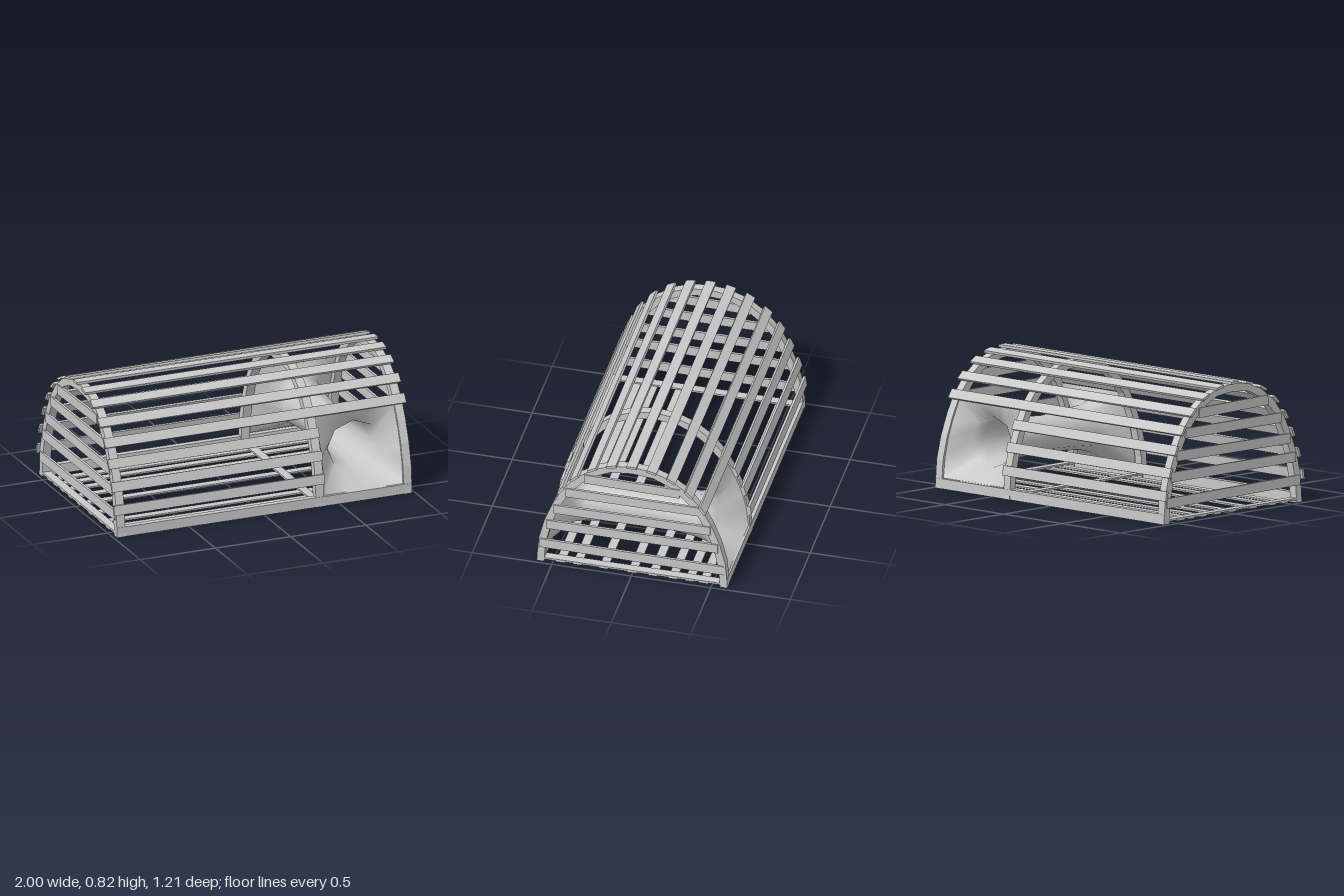
import * as THREE from 'three';

// Half of the arch outline, as [z, y] from foot to crown
const OUTER = [[0.6, 0], [0.587, 0.175], [0.552, 0.313], [0.5, 0.445], [0.44, 0.56], [0.355, 0.662], [0.245, 0.745], [0.125, 0.79], [0, 0.805]];
const INNER = [[0.553, 0], [0.545, 0.13], [0.51, 0.29], [0.455, 0.43], [0.395, 0.54], [0.32, 0.625], [0.235, 0.695], [0.135, 0.742], [0, 0.755]];

// Depth of an outline at height y
function depthAt(line, y) {
  for (let i = 1; i < line.length; i++) {
    const [z0, y0] = line[i - 1], [z1, y1] = line[i];
    if (y <= y1) return z0 + (z1 - z0) * (y - y0) / (y1 - y0);
  }
  return 0;
}

export function createModel() {
  const model = new THREE.Group();
  model.name = 'slattedTrap';
  const wood = new THREE.MeshStandardMaterial({ color: 0xc8c8c8 });
  wood.name = 'greyWood';
  wood.side = THREE.DoubleSide;

  function add(name, geometry, x = 0, y = 0, z = 0, rx = 0) {
    const mesh = new THREE.Mesh(geometry, wood);
    mesh.name = name;
    mesh.position.set(x, y, z);
    mesh.rotation.x = rx;
    model.add(mesh);
    return mesh;
  }
  const box = (name, w, h, d, x, y, z, rx) => add(name, new THREE.BoxGeometry(w, h, d), x, y, z, rx);

  // Three bent ribs
  const mirror = (line) => line.slice(0, -1).reverse().map(([z, y]) => [-z, y]);
  const outline = [...OUTER, ...mirror(OUTER), ...[...INNER, ...mirror(INNER)].reverse()];
  const ribShape = new THREE.Shape(outline.map(([z, y]) => new THREE.Vector2(z, y)));
  const ribGeometry = new THREE.ExtrudeGeometry(ribShape, { depth: 0.055, bevelEnabled: false });
  ribGeometry.translate(0, 0, -0.0275).rotateY(-Math.PI / 2);
  for (const x of [-0.953, 0.37, 0.953]) {
    add('archRib', ribGeometry, x);
    box('floorCrossBeam', 0.055, 0.012, 1.12, x, 0.023, 0);
  }

  // Long slats over the arch; the low ones stop at the entrances
  for (let i = 1; i < OUTER.length; i++) {
    const [z, y] = OUTER[i];
    const prev = OUTER[i - 1];
    const next = OUTER[i + 1] || [-OUTER[i - 1][0], OUTER[i - 1][1]];
    const ny = prev[0] - next[0], nz = next[1] - prev[1], n = Math.hypot(ny, nz);
    const x0 = -1, x1 = i < 4 ? 0.4 : 1;
    for (const side of z > 0 ? [1, -1] : [1]) {
      box('archSlat', x1 - x0, 0.062, 0.016, (x0 + x1) / 2, y + 0.006 * ny / n,
        side * (z + 0.006 * nz / n), -Math.atan2(ny, side * nz));
    }
  }

  // Bottom side rails
  for (const side of [1, -1]) box('sideRail', 1.96, 0.063, 0.04, 0, 0.0315, side * 0.578);

  // Floor slats
  for (const z of [-0.45, -0.36, -0.255, -0.13, 0, 0.18, 0.345, 0.45])
    box('floorSlat', 1.96, 0.01, 0.055, 0, 0.015, z);

  // Slightly uneven slats closing both ends
  const endSlats = [[0.135, 0.01], [0.287, 0], [0.41, -0.005], [0.545, 0], [0.663, 0.018]];
  for (const side of [1, -1]) {
    for (const [y, tilt] of endSlats) {
      const half = depthAt(OUTER, y + 0.035) - 0.008;
      box('endSlat', 0.016, 0.062, half * 2, side * 0.98, y, 0, -tilt);
    }
  }

  // Funnel tunnel running from the front entrance to the back one: [z, rx, ry]
  const cx = 0.665, cy = 0.3;
  const half = [[0.42, 0.172, 0.16], [0.34, 0.15, 0.14], [0.2, 0.133, 0.127]];
  const rings = ['entry', ...half, [0, 0.122, 0.115], ...half.map(([z, a, b]) => [-z, a, b]).reverse(), 'exit'];
  const sides = 16, points = [], faces = [];
  rings.forEach((ring, r) => {
    for (let s = 0; s < sides; s++) {
      const a = s / sides * Math.PI * 2;
      let c = Math.cos(a), d = Math.sin(a);
      if (typeof ring === 'string') {
        // Square mouth lying against the curved wall
        const m = Math.max(Math.abs(c), Math.abs(d));
        const y = cy + 0.234 * d / m;
        points.push(cx + 0.264 * c / m, y, (ring === 'entry' ? 1 : -1) * (depthAt(OUTER, y) - 0.008));
      } else {
        // Octagonal throat
        if (s % 2) { c *= Math.cos(Math.PI / 8); d *= Math.cos(Math.PI / 8); }
        points.push(cx + ring[1] * c, cy + ring[2] * d, ring[0]);
      }
      if (r > 0) {
        const t = (s + 1) % sides, p = (r - 1) * sides, q = r * sides;
        faces.push(p + s, p + t, q + s, p + t, q + t, q + s);
      }
    }
  });
  const funnel = new THREE.BufferGeometry();
  funnel.setAttribute('position', new THREE.Float32BufferAttribute(points, 3));
  // Reverse each face so the outside of the tunnel is its front
  for (let i = 0; i < faces.length; i += 3) [faces[i + 1], faces[i + 2]] = [faces[i + 2], faces[i + 1]];
  funnel.setIndex(faces);
  funnel.computeVertexNormals();
  add('funnelTunnel', funnel);

  return model;
}
